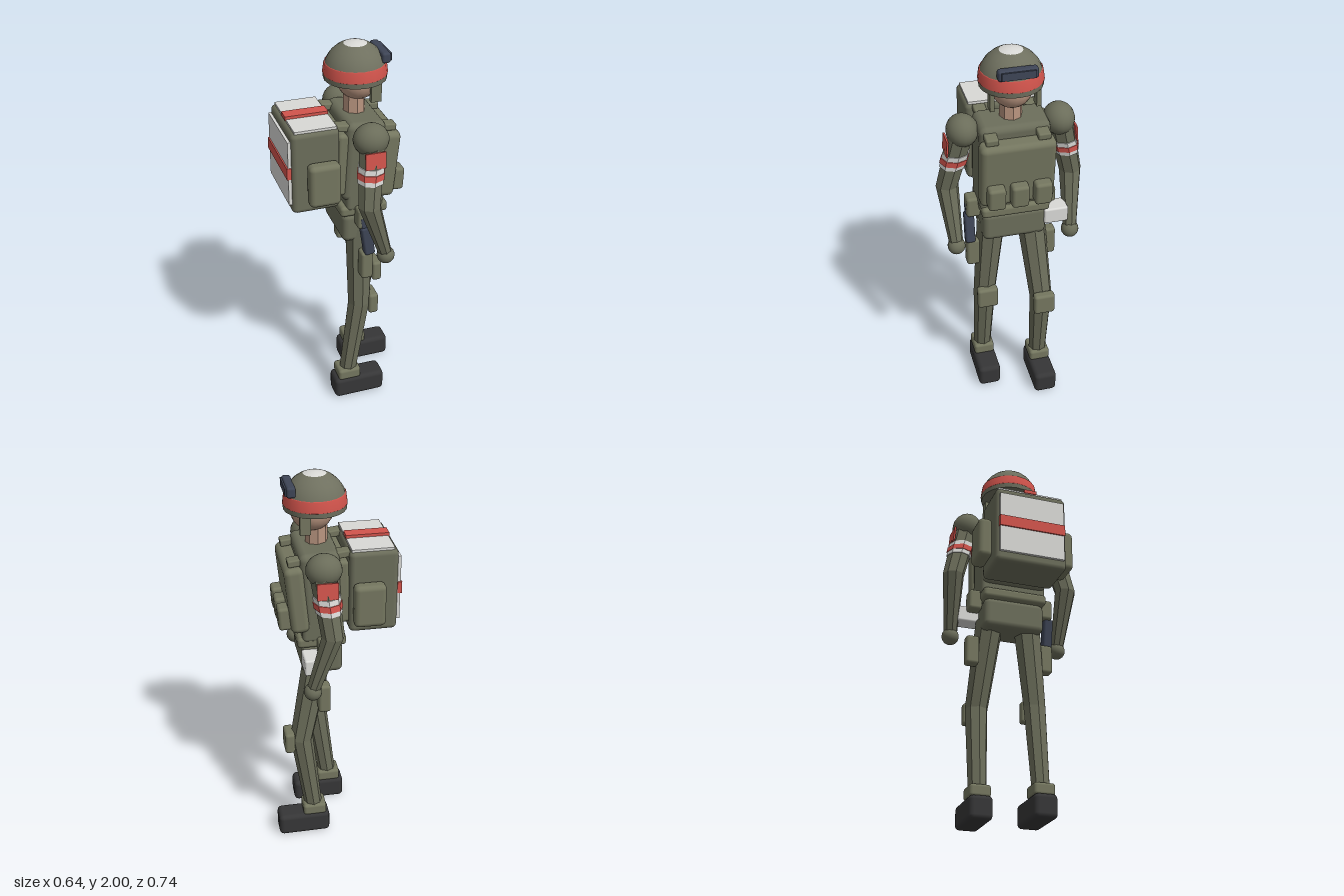
import * as THREE from 'three';
import { RoundedBoxGeometry } from 'three/addons/geometries/RoundedBoxGeometry.js';

const mat = (name, color) => {
  const m = new THREE.MeshStandardMaterial({ color });
  m.name = name;
  return m;
};

export function createModel() {
  const uniform = mat('uniform olive', 0x6b6d5a);
  const gear = mat('gear olive', 0x74765f);
  const helmetMat = mat('helmet olive', 0x6f705f);
  const red = mat('red', 0xd2544c);
  const white = mat('white', 0xd9d9d6);
  const skin = mat('skin', 0xb8947f);
  const boot = mat('boot black', 0x363637);
  const navy = mat('dark blue grey', 0x3e4556);

  const root = new THREE.Group();
  root.name = 'soldier';
  const add = (name, geo, material, parent = root) => {
    const m = new THREE.Mesh(geo, material);
    m.name = name;
    parent.add(m);
    return m;
  };
  // Box given by its limits on each axis; r > 0 rounds the edges
  const box = (name, material, [x0, x1], [y0, y1], [z0, z1], r = 0, tilt = 0) => {
    const s = [x1 - x0, y1 - y0, z1 - z0];
    const m = add(name, r ? new RoundedBoxGeometry(...s, 2, r) : new THREE.BoxGeometry(...s), material);
    m.position.set((x0 + x1) / 2, (y0 + y1) / 2, (z0 + z1) / 2);
    m.rotation.z = tilt;
    return m;
  };
  const span = (s, a, b) => (s > 0 ? [a, b] : [-b, -a]);
  const ball = (name, material, x, y, z, rx, ry = rx, rz = rx) => {
    const m = add(name, new THREE.SphereGeometry(1, 20, 14), material);
    m.position.set(x, y, z);
    m.scale.set(rx, ry, rz);
    return m;
  };
  // Eight-sided faceted limb through stations [x, y, z, radius], top to bottom
  const limb = (name, material, pts) => {
    const n = pts.length - 1;
    const g = new THREE.CylinderGeometry(1, 1, 1, 8, n);
    const p = g.attributes.position;
    for (let i = 0; i < p.count; i++) {
      const [x, y, z, r] = pts[Math.round((0.5 - p.getY(i)) * n)];
      p.setXYZ(i, x + p.getX(i) * r, y, z + p.getZ(i) * r);
    }
    const flat = g.toNonIndexed();
    flat.computeVertexNormals();
    return add(name, flat, material);
  };
  const between = (a, b, t, grow = 0) => a.map((v, i) => v + (b[i] - v) * t + (i === 3 ? grow : 0));

  // Head and neck
  ball('head', skin, 0.09, 1.81, 0, 0.105, 0.1, 0.1);
  limb('neck', skin, [[0.07, 1.76, 0, 0.054], [0.07, 1.61, 0, 0.056]]);

  // Helmet: rim, red band, dome and white crown share one profile
  const R = 0.155, cy = 1.845;
  const arc = (a, b, n) => Array.from({ length: n + 1 }, (_, i) => {
    const t = a + ((b - a) * i) / n;
    return new THREE.Vector2(Math.max(R * Math.cos(t), 0), cy + R * Math.sin(t));
  });
  const lathe = (name, pts, material) => {
    add(name, new THREE.LatheGeometry(pts, 20), material).position.x = 0.075;
  };
  const V = (x, y) => new THREE.Vector2(x, y);
  lathe('helmetUnderside', [V(0, 1.82), V(0.153, 1.82)], helmetMat);
  lathe('helmetRim', [V(0.153, 1.82), V(R, cy)], helmetMat);
  lathe('helmetBand', [V(R, 1.845), V(0.157, 1.847), V(0.15, 1.898), V(0.145, 1.9)], red);
  lathe('helmetDome', arc(0, 1.2, 8), helmetMat);
  lathe('helmetCrown', arc(1.2, Math.PI / 2, 3), white);
  box('goggles', navy, [0.178, 0.222], [1.905, 1.957], [-0.095, 0.095], 0.012);
  box('goggleLens', navy, [0.221, 0.229], [1.912, 1.95], [-0.08, 0.08]);

  // Torso, vest and belt
  box('torso', uniform, [-0.03, 0.17], [1.23, 1.65], [-0.175, 0.175], 0.035, -0.06);
  box('backPlate', gear, [-0.07, 0.0], [1.27, 1.6], [-0.165, 0.165], 0.02, -0.06);
  box('frontPlate', gear, [0.145, 0.24], [1.235, 1.585], [-0.185, 0.185], 0.03, -0.1);
  box('waist', uniform, [-0.02, 0.17], [1.18, 1.29], [-0.175, 0.175], 0.02);
  box('belt', gear, [-0.05, 0.195], [1.147, 1.203], [-0.172, 0.172], 0.018);
  box('pelvis', uniform, [-0.035, 0.17], [0.99, 1.15], [-0.162, 0.162], 0.03);
  for (const z of [-0.115, 0, 0.115])
    box('chestPouch', gear, [0.205, 0.285], [1.25, 1.37], [z - 0.043, z + 0.043], 0.016, -0.06);

  // Backpack with marked panels
  box('backpack', uniform, [-0.3, -0.06], [1.225, 1.65], [-0.19, 0.19], 0.025);
  box('packTopPanel', white, [-0.28, -0.072], [1.647, 1.66], [-0.175, 0.175]);
  box('packTopStripe', red, [-0.285, -0.07], [1.655, 1.675], [-0.033, 0.033]);
  box('packBackPanel', white, [-0.314, -0.298], [1.275, 1.61], [-0.173, 0.173]);
  box('packBackStripe', red, [-0.321, -0.299], [1.415, 1.475], [-0.176, 0.176]);

  // Mirrored upper parts
  for (const s of [1, -1]) {
    box('helmetFlap', gear, [0.115, 0.167], [1.73, 1.835], span(s, 0.1, 0.122));
    box('shoulderStrap', gear, [-0.07, 0.235], [1.6, 1.635], span(s, 0.095, 0.157), 0.008, -0.12);
    box('packSidePouch', gear, [-0.23, -0.073], [1.28, 1.5], span(s, 0.185, 0.258), 0.025);
    box('beltPouch', gear, [0.02, 0.1], [1.1, 1.21], span(s, 0.16, 0.23), 0.015);

    const top = [0.08, 1.58, s * 0.245, 0.066];
    const elbow = [0.045, 1.285, s * 0.315, 0.057];
    const wrist = [0.14, 0.985, s * 0.297, 0.035];
    limb('arm', uniform, [top, elbow, wrist]);
    ball('shoulder', uniform, 0.075, 1.6, s * 0.238, 0.088, 0.08, 0.078);
    ball('hand', uniform, 0.142, 0.975, s * 0.297, 0.045);
    const band = (name, m, a, b, grow) =>
      limb(name, m, [between(top, elbow, a, grow), between(top, elbow, b, grow)]);
    band('armBand', white, 0.33, 0.6, 0.005);
    band('armBandStripe', red, 0.42, 0.52, 0.009);
    const patch = box('armPatch', red, [0.02, 0.122], [1.485, 1.567], span(s, 0.315, 0.324));
    patch.rotation.x = -s * 0.08;
  }

  // Legs: the right one steps forward
  const legs = [
    { s: 1, hip: 0.07, knee: 0.06, ankle: -0.005, foot: [-0.088, 0.19] },
    { s: -1, hip: 0.085, knee: 0.18, ankle: 0.12, foot: [0.04, 0.316] },
  ];
  for (const { s, hip, knee, ankle, foot } of legs) {
    limb('leg', uniform, [
      [hip, 1.06, s * 0.1, 0.075],
      [knee, 0.6, s * 0.138, 0.06],
      [ankle, 0.14, s * 0.143, 0.047],
    ]);
    box('kneePad', gear, [knee + 0.04, knee + 0.092], [0.535, 0.652], span(s, 0.083, 0.193), 0.015);
    box('bootCuff', gear, [ankle - 0.062, ankle + 0.062], [0.115, 0.18], span(s, 0.088, 0.198), 0.016);
    box('boot', boot, foot, [0, 0.122], span(s, 0.082, 0.203), 0.024);
    box('thighPouch', gear, [0.04, 0.102], [0.8, 0.955], span(s, 0.165, 0.235), 0.015);
  }

  // Sidearm on the left hip, aid pouch on the right
  box('holster', navy, [0.045, 0.1], [0.945, 1.11], [0.19, 0.24], 0.012, 0.15);
  box('sidearmGrip', navy, [0.035, 0.075], [1.1, 1.165], [0.2, 0.232], 0.008, 0.15);
  box('aidPouch', white, [0.08, 0.176], [1.05, 1.135], [-0.275, -0.15], 0.01);

  return root;
}
